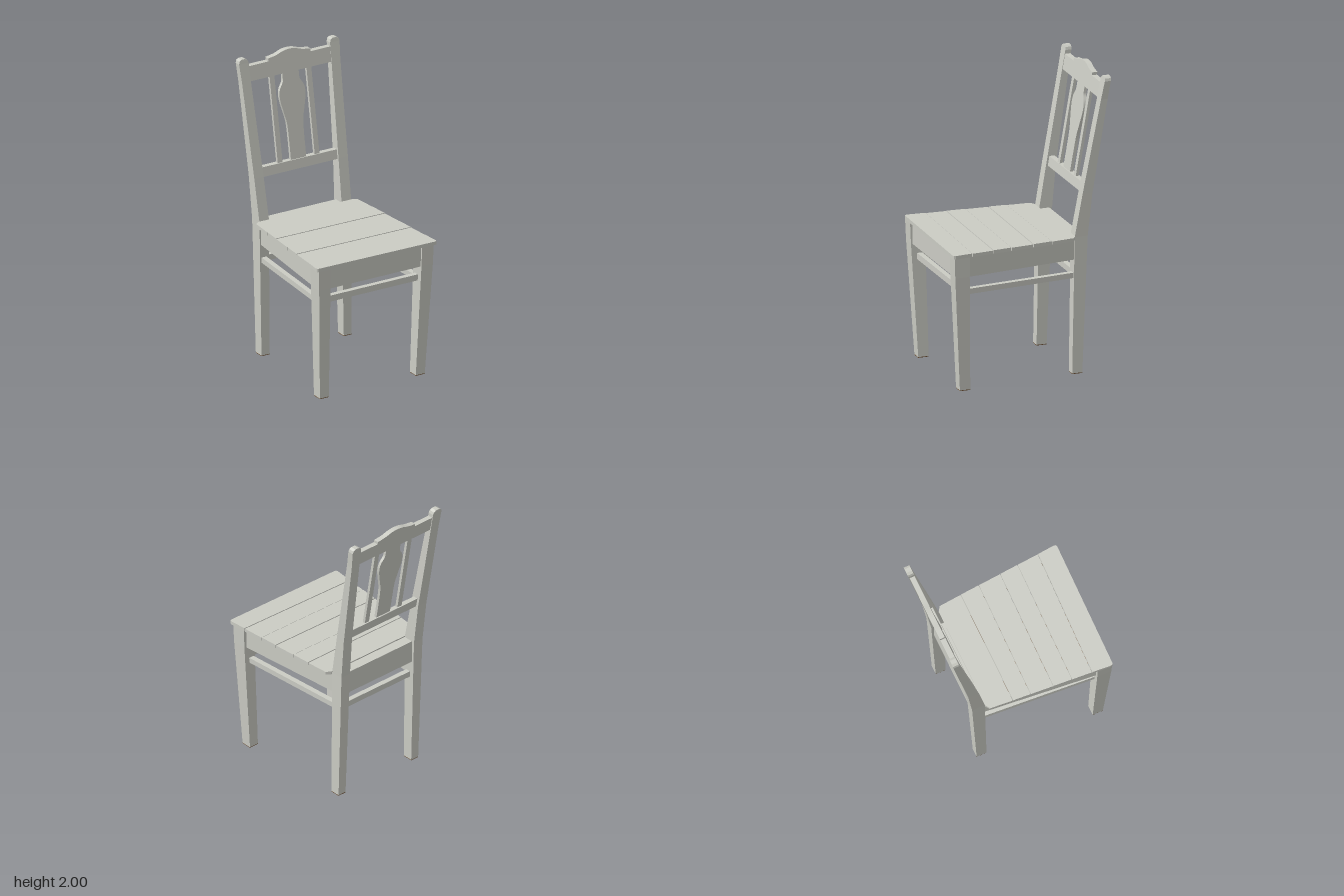
import * as THREE from 'three';
import { toCreasedNormals } from 'three/addons/utils/BufferGeometryUtils.js';

const paint = new THREE.MeshStandardMaterial({ color: 0xcbccc4 });
paint.name = 'greyPaint';
const wood = new THREE.MeshStandardMaterial({ color: 0x7a5a3c });
wood.name = 'bareWood';

// Four-sided post through sections [y, xInner, xOuter, zBack, zFront], on side s
function loft(sections, s) {
  const rings = sections.map(([y, xi, xo, zb, zf]) => {
    const x0 = Math.min(s * xi, s * xo), x1 = Math.max(s * xi, s * xo);
    return [[x0, y, zb], [x0, y, zf], [x1, y, zf], [x1, y, zb]];
  });
  const pos = [];
  const quad = (a, b, c, d) => pos.push(...a, ...b, ...c, ...a, ...c, ...d);
  for (let r = 0; r < rings.length - 1; r++) {
    for (let i = 0; i < 4; i++) {
      const j = (i + 1) % 4;
      quad(rings[r][i], rings[r][j], rings[r + 1][j], rings[r + 1][i]);
    }
  }
  const top = rings[rings.length - 1], low = rings[0];
  quad(...top);
  quad(low[3], low[2], low[1], low[0]);
  const g = new THREE.BufferGeometry();
  g.setAttribute('position', new THREE.Float32BufferAttribute(pos, 3));
  g.computeVertexNormals();
  return g;
}

// Straight bar between two points; bareSide is the box face left unpainted
function bar(from, to, height, thick, bareSide = -1) {
  const a = new THREE.Vector3(...from), b = new THREE.Vector3(...to);
  const mats = Array.from({ length: 6 }, (_, i) => (i === bareSide ? wood : paint));
  const m = new THREE.Mesh(new THREE.BoxGeometry(thick, height, a.distanceTo(b)), mats);
  m.position.copy(a).add(b).multiplyScalar(0.5);
  m.lookAt(b);
  return m;
}

// Flat outline extruded backwards, then leaned back with the posts
function leaningPanel(shape, front, thick) {
  const g = new THREE.ExtrudeGeometry(shape, { depth: thick, bevelEnabled: false, curveSegments: 10 });
  const p = g.attributes.position;
  for (let i = 0; i < p.count; i++) {
    p.setZ(i, p.getZ(i) + front - thick - (p.getY(i) - 1.275) * 0.175);
  }
  return toCreasedNormals(g, 0.5);
}

const polygon = (pts) => new THREE.Shape(pts.map(([x, y]) => new THREE.Vector2(x, y)));
const rect = (x0, x1, y0, y1) => polygon([[x0, y0], [x1, y0], [x1, y1], [x0, y1]]);

// Horizontal slab from an outline in x, z
function slab(pts, y0, y1) {
  const g = new THREE.ExtrudeGeometry(polygon(pts.map(([x, z]) => [x, -z])), { depth: y1 - y0, bevelEnabled: false });
  return g.rotateX(-Math.PI / 2).translate(0, y0, 0);
}

export function createModel() {
  const chair = new THREE.Group();
  chair.name = 'chair';
  const add = (name, obj, mat = paint) => {
    const m = obj.isMesh ? obj : new THREE.Mesh(obj, mat);
    m.name = name;
    chair.add(m);
  };

  // Legs, with bare wood under the feet
  for (const [s, side] of [[1, 'Left'], [-1, 'Right']]) {
    add('frontLeg' + side, loft([
      [0.005, 0.33, 0.398, 0.423, 0.495],
      [0.78, 0.345, 0.431, 0.44, 0.54],
      [0.917, 0.347, 0.435, 0.44, 0.545],
    ], s));
    add('backPost' + side, loft([
      [0.005, 0.282, 0.342, -0.375, -0.305],
      [0.93, 0.275, 0.348, -0.41, -0.32],
      [1.22, 0.284, 0.355, -0.44, -0.372],
      [1.85, 0.306, 0.373, -0.538, -0.492],
      [1.972, 0.309, 0.381, -0.557, -0.515],
      [1.99, 0.315, 0.376, -0.56, -0.518],
      [2.0, 0.332, 0.36, -0.56, -0.52],
    ], s));
    add('frontFoot' + side, loft([[0, 0.331, 0.397, 0.424, 0.494], [0.005, 0.33, 0.398, 0.423, 0.495]], s), wood);
    add('backFoot' + side, loft([[0, 0.283, 0.341, -0.374, -0.306], [0.005, 0.282, 0.342, -0.375, -0.305]], s), wood);

    // Side apron and stretcher
    add('sideApron' + side, bar([s * 0.322, 0.846, -0.33], [s * 0.402, 0.846, 0.46], 0.142, 0.03, s > 0 ? 1 : 0));
    add('sideStretcher' + side, bar([s * 0.315, 0.667, -0.33], [s * 0.375, 0.667, 0.46], 0.036, 0.036));
  }

  // Front and back aprons and stretchers
  add('frontApron', bar([-0.36, 0.846, 0.515], [0.36, 0.846, 0.515], 0.142, 0.03, 0));
  add('backApron', bar([-0.29, 0.852, -0.355], [0.29, 0.852, -0.355], 0.156, 0.07, 1));
  add('frontStretcher', bar([-0.355, 0.688, 0.48], [0.355, 0.688, 0.48], 0.042, 0.035));
  add('backStretcher', bar([-0.29, 0.667, -0.35], [0.29, 0.667, -0.35], 0.04, 0.035));

  // Seat planks: z of each joint at its right and left end
  const joints = [[-0.32, -0.32], [-0.143, -0.143], [-0.022, -0.01], [0.133, 0.147],
    [0.262, 0.275], [0.4, 0.425], [0.545, 0.56]];
  const half = (z) => 0.41 + 0.074 * z;
  const gap = 0.002;
  for (let i = 0; i < joints.length - 1; i++) {
    const first = i === 0, last = i === joints.length - 2;
    const [br, bl] = joints[i].map((z) => z + (first ? 0 : gap));
    const [fr, fl] = joints[i + 1].map((z) => z - (last ? 0 : gap));
    const pts = [];
    if (first) pts.push([-half(br) + 0.032, br], [-half(br), br + 0.022]);
    else pts.push([-half(br), br]);
    if (last) {
      pts.push([-half(fr), fr - 0.016], [-half(fr) + 0.004, fr - 0.004], [-half(fr) + 0.016, fr]);
      pts.push([half(fl) - 0.016, fl], [half(fl) - 0.004, fl - 0.004], [half(fl), fl - 0.016]);
    } else pts.push([-half(fr), fr], [half(fl), fl]);
    if (first) pts.push([half(bl), bl + 0.022], [half(bl) - 0.032, bl]);
    else pts.push([half(bl), bl]);
    add('seatPlank' + (i + 1), slab(pts, 0.916, 0.938 + (i % 2) * 0.002));

    // Bare underside of the plank, inside the aprons
    const f = last ? [0.5, 0.5] : [fr, fl];
    const w = (z) => half(z) - 0.07;
    add('plankUnderside' + (i + 1), slab([[-w(br), br], [-w(f[0]), f[0]], [w(f[1]), f[1]], [w(bl), bl]], 0.912, 0.916), wood);
  }

  // Crest rail with a raised, arched middle
  const crest = rect(-0.32, 0.32, 1.847, 1.947);
  crest.curves.length = 0;
  crest.setFromPoints([[-0.32, 1.847], [0.32, 1.847], [0.32, 1.947], [0.16, 1.947], [0.16, 1.966]]
    .map(([x, y]) => new THREE.Vector2(x, y)));
  crest.splineThru([[0.1, 1.975], [0.045, 1.992], [0, 1.997], [-0.045, 1.992], [-0.1, 1.975], [-0.16, 1.966]]
    .map(([x, y]) => new THREE.Vector2(x, y)));
  crest.lineTo(-0.16, 1.947);
  crest.lineTo(-0.32, 1.947);
  add('crestRail', leaningPanel(crest, -0.395, 0.036));
  add('lowerBackRail', leaningPanel(rect(-0.3, 0.3, 1.212, 1.275), -0.395, 0.036));

  // Vase-shaped splat and two narrow slats
  const profile = [[0.058, 1.27], [0.058, 1.42], [0.062, 1.52], [0.08, 1.6], [0.097, 1.68],
    [0.092, 1.74], [0.066, 1.785], [0.062, 1.81]];
  const curve = new THREE.SplineCurve(profile.map(([x, y]) => new THREE.Vector2(x, y))).getPoints(28);
  curve.push(new THREE.Vector2(0.062, 1.855));
  const mirrored = curve.map((p) => new THREE.Vector2(-p.x, p.y)).reverse();
  add('backSplat', leaningPanel(new THREE.Shape([...curve, ...mirrored]), -0.402, 0.02));
  for (const [s, side] of [[1, 'Left'], [-1, 'Right']]) {
    add('backSlat' + side, leaningPanel(rect(s * 0.14 - 0.018, s * 0.14 + 0.018, 1.27, 1.855), -0.402, 0.02));
  }
  return chair;
}
